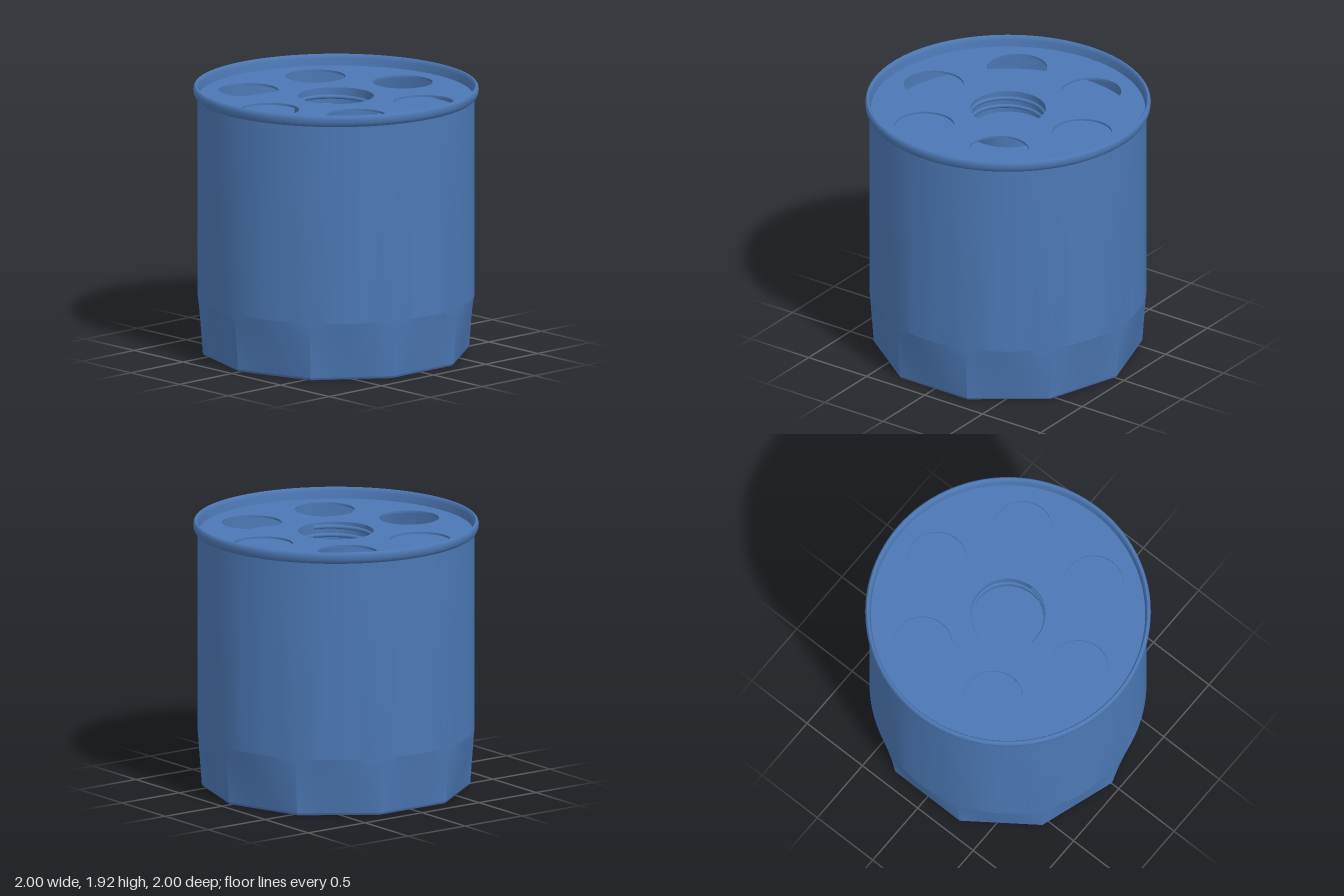
import * as THREE from 'three';
import { toCreasedNormals } from 'three/addons/utils/BufferGeometryUtils.js';

const SIDES = 10, R_BODY = 0.97, R_FOOT = 0.94, TAPER_TOP = 0.42;
const PLATE_Y = 1.84, FLOOR_Y = 1.68;

export function createModel() {
  const blue = new THREE.MeshStandardMaterial({ color: 0x4c78b5 });
  blue.name = 'blue';
  const group = new THREE.Group();

  const add = (name, geometry) => {
    const mesh = new THREE.Mesh(geometry, blue);
    mesh.name = name;
    group.add(mesh);
    return mesh;
  };
  const lathe = (points, segments = 120) =>
    toCreasedNormals(new THREE.LatheGeometry(points.map(([r, y]) => new THREE.Vector2(r, y)), segments), 0.6);

  // Body: a round wall whose foot blends into a ten-sided base
  const profile = [[0, 0], [0.975, 0], [0.992, 0.006], [1, 0.02]];
  for (let i = 1; i <= 6; i++) profile.push([1, 0.02 + (i / 6) * (TAPER_TOP - 0.02)]);
  profile.push([1, 1.85]);
  const body = new THREE.LatheGeometry(profile.map(([r, y]) => new THREE.Vector2(r, y)), 120);
  const pos = body.attributes.position;
  const sector = (Math.PI * 2) / SIDES;
  for (let i = 0; i < pos.count; i++) {
    const x = pos.getX(i), z = pos.getZ(i), y = pos.getY(i);
    const angle = Math.atan2(x, z) + Math.PI * 2;
    const local = angle - Math.round(angle / sector - 0.5) * sector - sector / 2;
    const polygon = R_FOOT * Math.cos(sector / 2) / Math.cos(local);
    const t = Math.min(1, Math.max(0, (y - 0.02) / (TAPER_TOP - 0.02)));
    const r = THREE.MathUtils.lerp(polygon, R_BODY, t);
    pos.setXYZ(i, x * r, y, z * r);
  }
  add('body', toCreasedNormals(body, 0.15));

  // Rounded rim standing above the plate
  add('rim', lathe([
    [0.96, 1.835], [0.975, 1.835], [0.988, 1.845], [0.997, 1.865], [1.0, 1.89],
    [0.997, 1.908], [0.988, 1.918], [0.978, 1.918], [0.97, 1.908], [0.966, 1.89], [0.96, 1.835],
  ]));

  // Shallow chamber under the plate: inner wall and floor
  add('chamber', lathe([[0.965, PLATE_Y], [0.935, PLATE_Y - 0.02], [0.935, FLOOR_Y], [0, FLOOR_Y]]));

  // Top plate with a centre opening and six round holes
  const disc = new THREE.Shape().absarc(0, 0, 0.968, 0, Math.PI * 2, false);
  const addHole = (x, y, r) => disc.holes.push(new THREE.Path().absarc(x, y, r, 0, Math.PI * 2, true));
  addHole(0, 0, 0.265);
  for (let i = 0; i < 6; i++) {
    const a = Math.PI / 6 + (i * Math.PI) / 3;
    addHole(0.64 * Math.cos(a), 0.64 * Math.sin(a), 0.21);
  }
  const plate = new THREE.ExtrudeGeometry(disc, { depth: 0.015, bevelEnabled: false, curveSegments: 64 });
  plate.rotateX(-Math.PI / 2);
  add('topPlate', toCreasedNormals(plate, 0.5)).position.y = PLATE_Y - 0.015;

  // Neck below the centre opening
  add('neck', lathe([
    [0.29, FLOOR_Y], [0.29, PLATE_Y - 0.005], [0.265, PLATE_Y - 0.005], [0.265, FLOOR_Y],
  ], 72));

  // Screw thread winding down inside the neck
  const turns = 1.6, helix = [];
  for (let i = 0; i <= 64; i++) {
    const a = (i / 64) * turns * Math.PI * 2;
    helix.push(new THREE.Vector3(0.266 * Math.cos(a), 1.81 - 0.06 * turns * (i / 64), 0.266 * Math.sin(a)));
  }
  add('thread', new THREE.TubeGeometry(new THREE.CatmullRomCurve3(helix), 128, 0.015, 8));

  return group;
}
